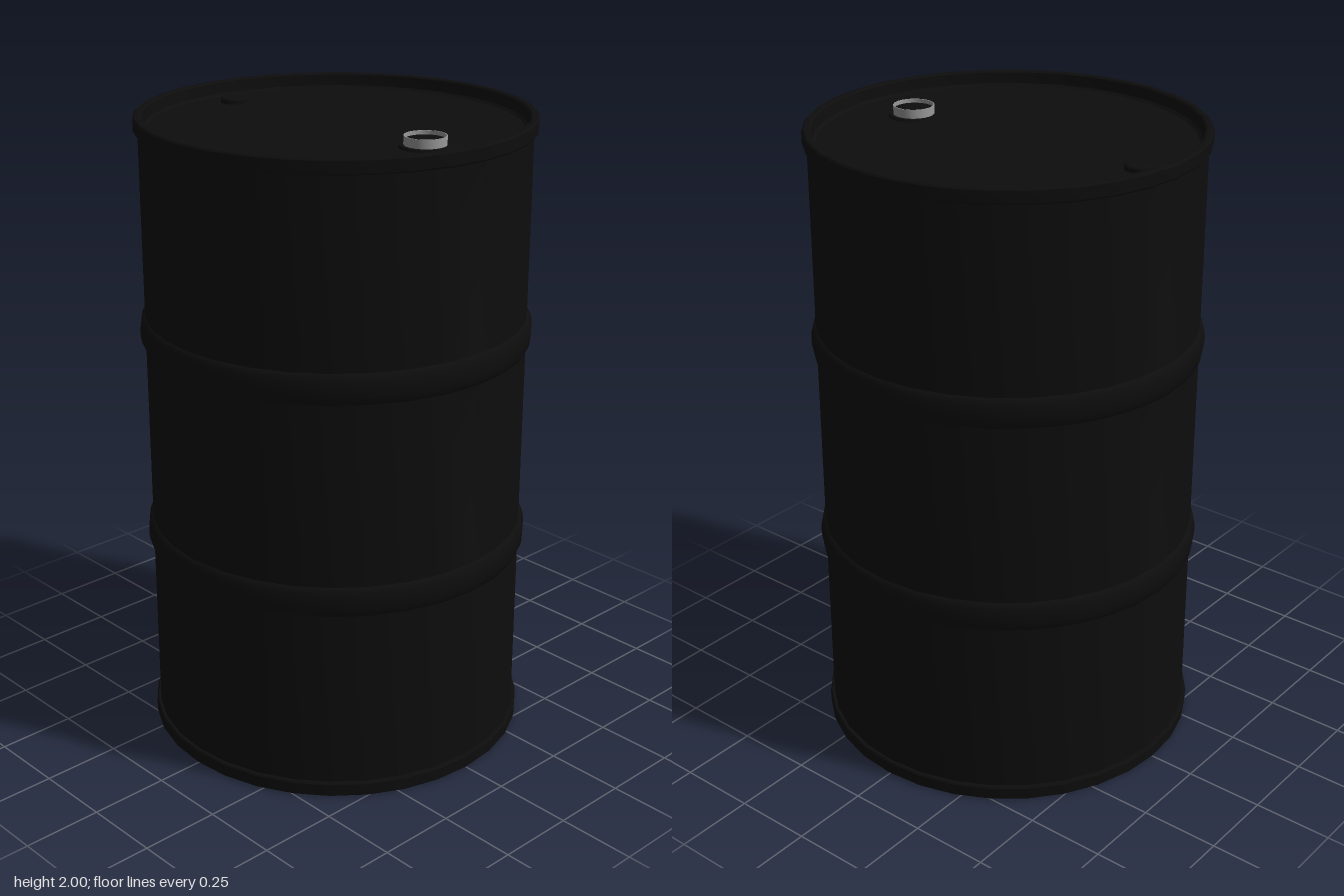
import * as THREE from 'three';
import { toCreasedNormals } from 'three/addons/utils/BufferGeometryUtils.js';

const black = new THREE.MeshStandardMaterial({ color: 0x0d0d0d });
const grey = new THREE.MeshStandardMaterial({ color: 0x999999 });

const BODY = 0.591, RIM = 0.604, BEAD = 0.607, LID_Y = 1.955;

// Revolve a profile, listed from bottom to top, keeping its corners sharp
function revolve(name, points, sides, material) {
  const profile = points.map(([r, y]) => new THREE.Vector2(r, y));
  const geometry = toCreasedNormals(new THREE.LatheGeometry(profile, sides), 0.6);
  const mesh = new THREE.Mesh(geometry, material);
  mesh.name = name;
  return mesh;
}

// Rounded rolling hoop pressed out of the wall
function bead(y) {
  const points = [];
  for (let i = 0; i <= 8; i++) {
    const a = -Math.PI / 2 + (i / 8) * Math.PI;
    points.push([BODY + (BEAD - BODY) * Math.cos(a), y + 0.048 * Math.sin(a)]);
  }
  return points;
}

export function createModel() {
  const drum = new THREE.Group();
  drum.name = 'drum';

  // Wall with two hoops
  drum.add(revolve('wall', [
    [BODY, 0.04], ...bead(0.667), ...bead(1.338), [BODY, 1.96],
  ], 32, black));

  // Recessed base with its rolled rim
  drum.add(revolve('base', [
    [0, 0.035], [0.565, 0.035], [0.575, 0.028], [0.578, 0.004], [0.583, 0],
    [0.599, 0], [RIM, 0.005], [RIM, 0.041], [0.6, 0.046], [BODY - 0.002, 0.046],
  ], 32, black));

  // Recessed lid with its rolled rim
  drum.add(revolve('lid', [
    [BODY - 0.002, 1.954], [0.6, 1.954], [RIM, 1.959], [RIM, 1.995], [0.599, 2],
    [0.583, 2], [0.578, 1.996], [0.575, LID_Y + 0.007], [0.565, LID_Y], [0, LID_Y],
  ], 32, black));

  // Large filler opening: flange, metal collar and sunken plug
  const filler = new THREE.Group();
  filler.name = 'filler';
  filler.position.set(0, LID_Y, 0.37);
  filler.add(
    revolve('fillerFlange', [[0.078, 0], [0.075, 0.007], [0, 0.007]], 32, black),
    revolve('fillerCollar', [[0.063, 0.005], [0.063, 0.034], [0.06, 0.034], [0.06, 0.005]], 32, grey),
    revolve('fillerPlug', [[0.06, 0.005], [0.06, 0.022], [0, 0.022]], 32, black),
  );
  drum.add(filler);

  // Small vent plug on the opposite side
  const vent = revolve('ventPlug', [[0.042, 0], [0.042, 0.012], [0.038, 0.016], [0, 0.016]], 24, black);
  vent.position.set(0, LID_Y, -0.47);
  drum.add(vent);

  return drum;
}
